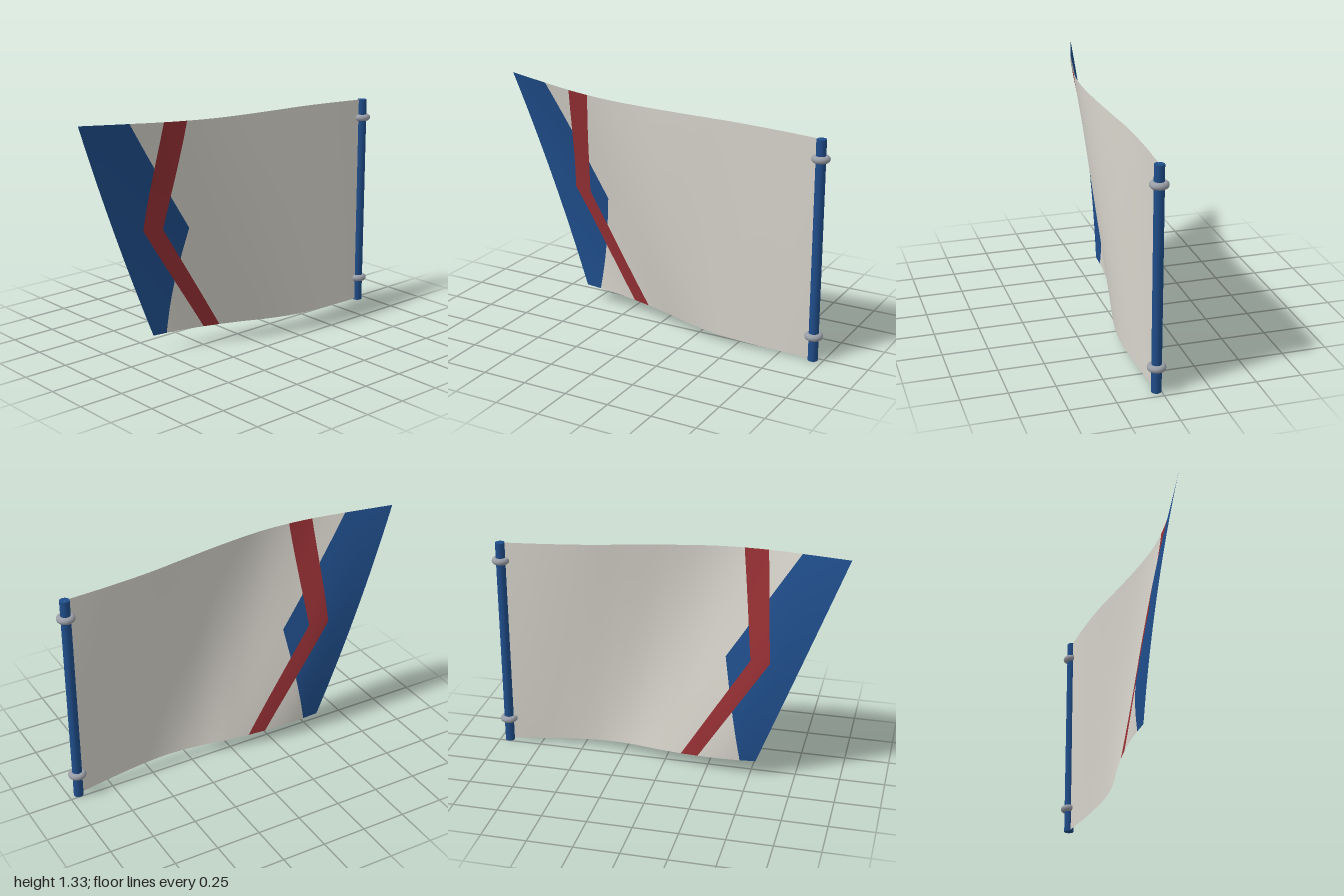
import * as THREE from 'three';

const HOIST = 0.945, POLE_Z = 0.025;

const mat = (name, color, side = THREE.FrontSide) => {
  const m = new THREE.MeshStandardMaterial({ color, side });
  m.name = name;
  return m;
};

// Depth of the waving cloth from hoist to fly along three rows
const waves = [
  [0.025, 0.045, 0.059, 0.06, 0.033, -0.015, -0.052, -0.076, -0.082], // bottom edge
  [0.025, 0.034, 0.05, 0.068, 0.075, 0.05, -0.005, -0.065, -0.095],   // middle
  [0.025, 0.024, 0.034, 0.06, 0.083, 0.091, 0.064, 0.006, -0.06],     // top edge
];

// Smooth value through evenly spaced points
function spline(p, u) {
  const n = p.length - 1, s = u * n;
  const i = Math.max(0, Math.min(n - 1, Math.floor(s))), t = s - i;
  const b = p[i], c = p[i + 1];
  const a = i > 0 ? p[i - 1] : 2 * b - c, d = i < n - 1 ? p[i + 2] : 2 * c - b;
  return b + 0.5 * t * (c - a + t * (2 * a - 5 * b + 4 * c - d + t * (3 * (b - c) + d - a)));
}

const flyX = v => HOIST - (1.48 + 0.465 * v);

// Cloth point at horizontal position x and height fraction v
function clothPoint(x, v) {
  const u = (HOIST - x) / (HOIST - flyX(v));
  const [b, m, t] = waves.map(w => spline(w, u));
  const z = b * (1 - v) * (1 - 2 * v) + m * 4 * v * (1 - v) + t * v * (2 * v - 1);
  const y = (0.005 + 0.095 * u) * (1 - v) + (1.23 + 0.1 * u) * v;
  return new THREE.Vector3(x, y, z);
}

function clothNormal(x, v) {
  const e = 0.002;
  const dx = clothPoint(x + e, v).sub(clothPoint(x - e, v));
  const dv = clothPoint(x, v + e).sub(clothPoint(x, v - e));
  return dx.cross(dv).normalize();
}

// Strip of cloth between two edge curves x = left(v) and x = right(v)
function clothStrip(left, right, cols) {
  const rows = 120, pos = [], nor = [], idx = [];
  for (let j = 0; j <= rows; j++) {
    const v = j / rows, l = left(v), r = right(v);
    for (let i = 0; i <= cols; i++) {
      const x = l + (r - l) * i / cols;
      pos.push(...clothPoint(x, v).toArray());
      nor.push(...clothNormal(x, v).toArray());
    }
  }
  for (let j = 0; j < rows; j++) {
    const v0 = j / rows, v1 = (j + 1) / rows;
    if (right(v0) - left(v0) + right(v1) - left(v1) < 1e-6) continue;
    for (let i = 0; i < cols; i++) {
      const a = j * (cols + 1) + i, b = a + 1, c = a + cols + 1, d = c + 1;
      idx.push(a, b, d, a, d, c);
    }
  }
  const g = new THREE.BufferGeometry();
  g.setAttribute('position', new THREE.Float32BufferAttribute(pos, 3));
  g.setAttribute('normal', new THREE.Float32BufferAttribute(nor, 3));
  g.setIndex(idx);
  return g;
}

// Edge curve with one bend at half height
const bent = (bottom, middle, top) => v =>
  v < 0.5 ? bottom + (middle - bottom) * v * 2 : middle + (top - middle) * (v * 2 - 1);

export function createModel() {
  const group = new THREE.Group();
  group.name = 'flag';
  const cream = mat('cream cloth', 0xd6d3ca, THREE.DoubleSide);
  const blue = mat('blue', 0x1f4d8a, THREE.DoubleSide);
  const red = mat('red', 0x963034, THREE.DoubleSide);
  const metal = mat('grey metal', 0x9a9ea6);

  const add = (name, geometry, material, y = 0) => {
    const mesh = new THREE.Mesh(geometry, material);
    mesh.name = name;
    if (y) mesh.position.set(HOIST, y, POLE_Z);
    group.add(mesh);
  };

  // Cloth, divided along the blue wedge and the red chevron
  const blueEdge = bent(-0.445, -0.34, -0.735);
  const redLeft = bent(-0.2, -0.597, -0.55);
  const redRight = bent(-0.1, -0.485, -0.415);
  const wedgeOuter = v => Math.min(blueEdge(v), redLeft(v));
  const wedgeInner = v => Math.max(blueEdge(v), redRight(v));
  add('blueWedge', clothStrip(flyX, wedgeOuter, 10), blue);
  add('creamGap', clothStrip(wedgeOuter, redLeft, 6), cream);
  add('redChevron', clothStrip(redLeft, redRight, 4), red);
  add('blueWedgeTip', clothStrip(redRight, wedgeInner, 4), blue);
  add('creamField', clothStrip(wedgeInner, () => HOIST, 40), cream);

  // Pole and its two rings
  add('pole', new THREE.CylinderGeometry(0.027, 0.027, 1.23, 20), blue, 0.615);
  for (const [name, y] of [['lowerRing', 0.14], ['upperRing', 1.125]]) {
    add(name, new THREE.TorusGeometry(0.031, 0.019, 12, 28).rotateX(Math.PI / 2), metal, y);
  }
  return group;
}
